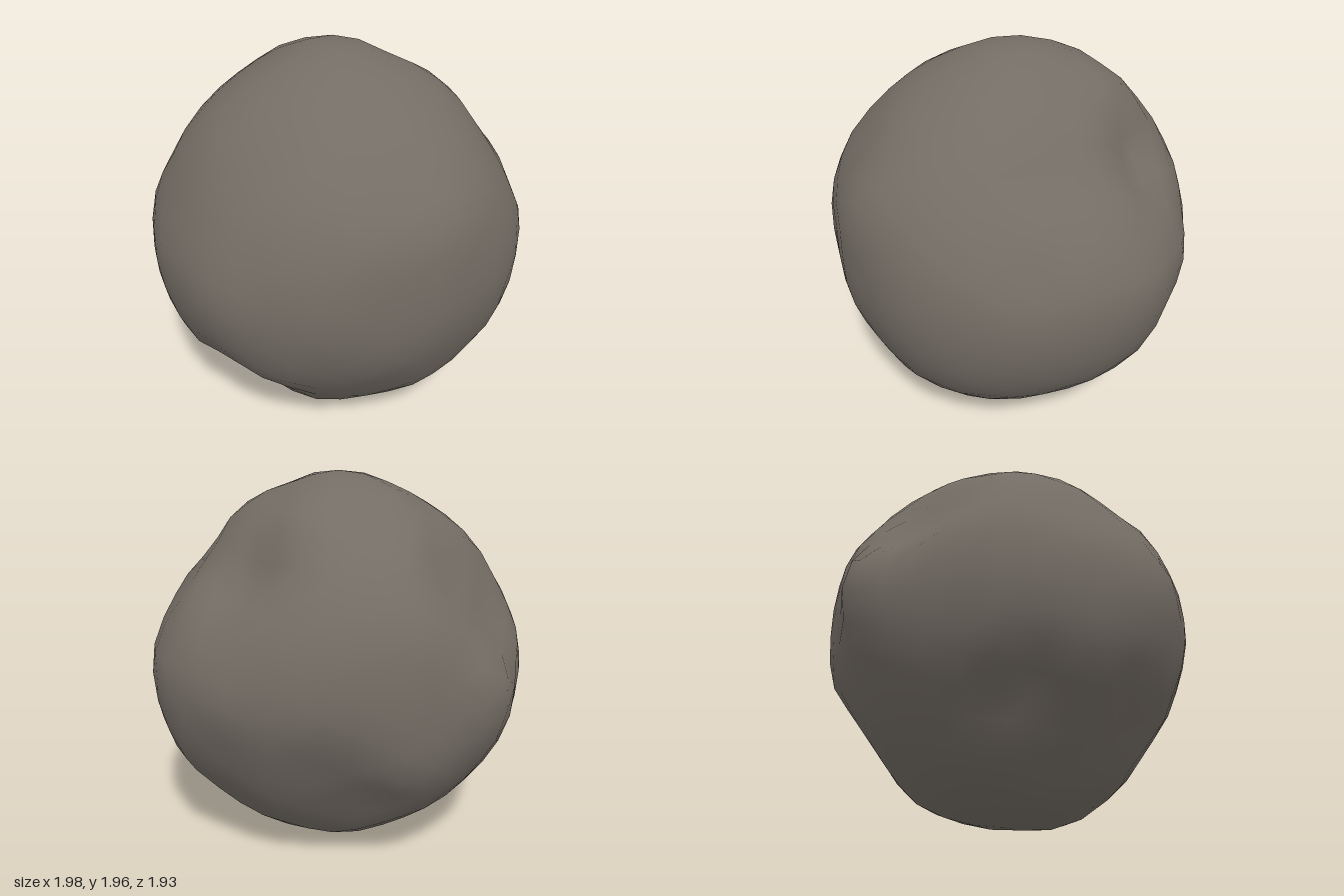
import * as THREE from 'three';
import { mergeVertices } from 'three/addons/utils/BufferGeometryUtils.js';

const vec = (a) => new THREE.Vector3(...a).normalize();

// Great-circle cross-sections: the axis each one faces, and its radius every 22.5 degrees
// counter-clockwise, starting from its own right-hand side
const ELEVATION = Math.tan(Math.PI / 6) * Math.SQRT2;
const sections = [
  [[0, 0, 1], [1, 0.93, 0.86, 0.93, 0.985, 0.95, 0.95, 0.94, 0.985, 0.985, 0.935, 0.985, 0.975, 0.955, 0.975, 0.997]],
  [[1, 0, 0], [0.93, 0.949, 0.966, 0.978, 0.985, 0.963, 0.98, 1.005, 0.965, 0.96, 0.993, 1.015, 0.975, 0.97, 0.965, 0.965]],
  [[0, 1, 0], [1, 0.966, 0.925, 0.91, 0.93, 1.03, 0.967, 0.97, 0.985, 1.013, 0.976, 0.938, 0.965, 0.993, 0.99, 0.99]],
  [[1, ELEVATION, 1], [0.925, 0.925, 0.93, 0.967, 0.931, 0.945, 0.931, 0.967, 0.976, 0.952, 0.933, 0.996, 0.98, 0.96, 0.931, 0.912]],
  [[-1, ELEVATION, -1], [0.976, 0.969, 0.948, 0.955, 0.964, 0.898, 0.817, 0.914, 0.925, 0.87, 0.879, 0.935, 0.962, 0.955, 0.917, 0.986]],
  [[1, -ELEVATION, -1], [0.968, 0.857, 0.855, 0.908, 0.974, 0.91, 0.88, 0.94, 0.99, 0.996, 0.988, 0.973, 0.985, 0.9, 0.885, 0.96]],
];

// Turn the cross-sections into sample directions with a radius each
const samples = sections.flatMap(([axis, radii]) => {
  const facing = vec(axis);
  const upHint = Math.abs(facing.y) > 0.99 ? new THREE.Vector3(0, 0, -1) : new THREE.Vector3(0, 1, 0);
  const right = new THREE.Vector3().crossVectors(upHint, facing).normalize();
  const up = new THREE.Vector3().crossVectors(facing, right);
  return radii.map((radius, i) => {
    const angle = (i / radii.length) * Math.PI * 2;
    const dir = right.clone().multiplyScalar(Math.cos(angle)).addScaledVector(up, Math.sin(angle));
    return { dir, radius };
  });
});

// Hollows between the cross-sections: direction, depth, angular spread
const hollows = [
  { dir: vec([0.62, 0.6, -0.35]), depth: 0.03, spread: 0.3 },
  { dir: vec([0.3, -0.55, -0.75]), depth: 0.02, spread: 0.3 },
];

// Surface radius along a unit direction, blended smoothly from the samples
function radiusAt(dir) {
  let sum = 0;
  let total = 0;
  for (const s of samples) {
    const weight = 1 / (2.05 - 2 * dir.dot(s.dir)) ** 3;
    sum += weight * s.radius;
    total += weight;
  }
  return hollows.reduce((r, h) => r - h.depth * Math.exp(-((dir.angleTo(h.dir) / h.spread) ** 2)), sum / total);
}

function createBoulderGeometry() {
  // Weld the sphere so that its normals come out smooth
  let geometry = new THREE.IcosahedronGeometry(1, 7);
  geometry.deleteAttribute('normal');
  geometry.deleteAttribute('uv');
  geometry = mergeVertices(geometry, 1e-4);

  const position = geometry.attributes.position;
  const v = new THREE.Vector3();
  for (let i = 0; i < position.count; i++) {
    v.fromBufferAttribute(position, i).normalize();
    v.multiplyScalar(radiusAt(v));
    position.setXYZ(i, v.x, v.y, v.z);
  }

  // Stand it on the ground
  geometry.computeBoundingBox();
  geometry.translate(0, -geometry.boundingBox.min.y, 0);
  geometry.computeVertexNormals();
  return geometry;
}

export function createModel() {
  const group = new THREE.Group();
  group.name = 'boulder';
  const stone = new THREE.MeshStandardMaterial({ color: 0x746d65 });
  stone.name = 'greyBrownStone';
  const rock = new THREE.Mesh(createBoulderGeometry(), stone);
  rock.name = 'rock';
  group.add(rock);
  return group;
}
